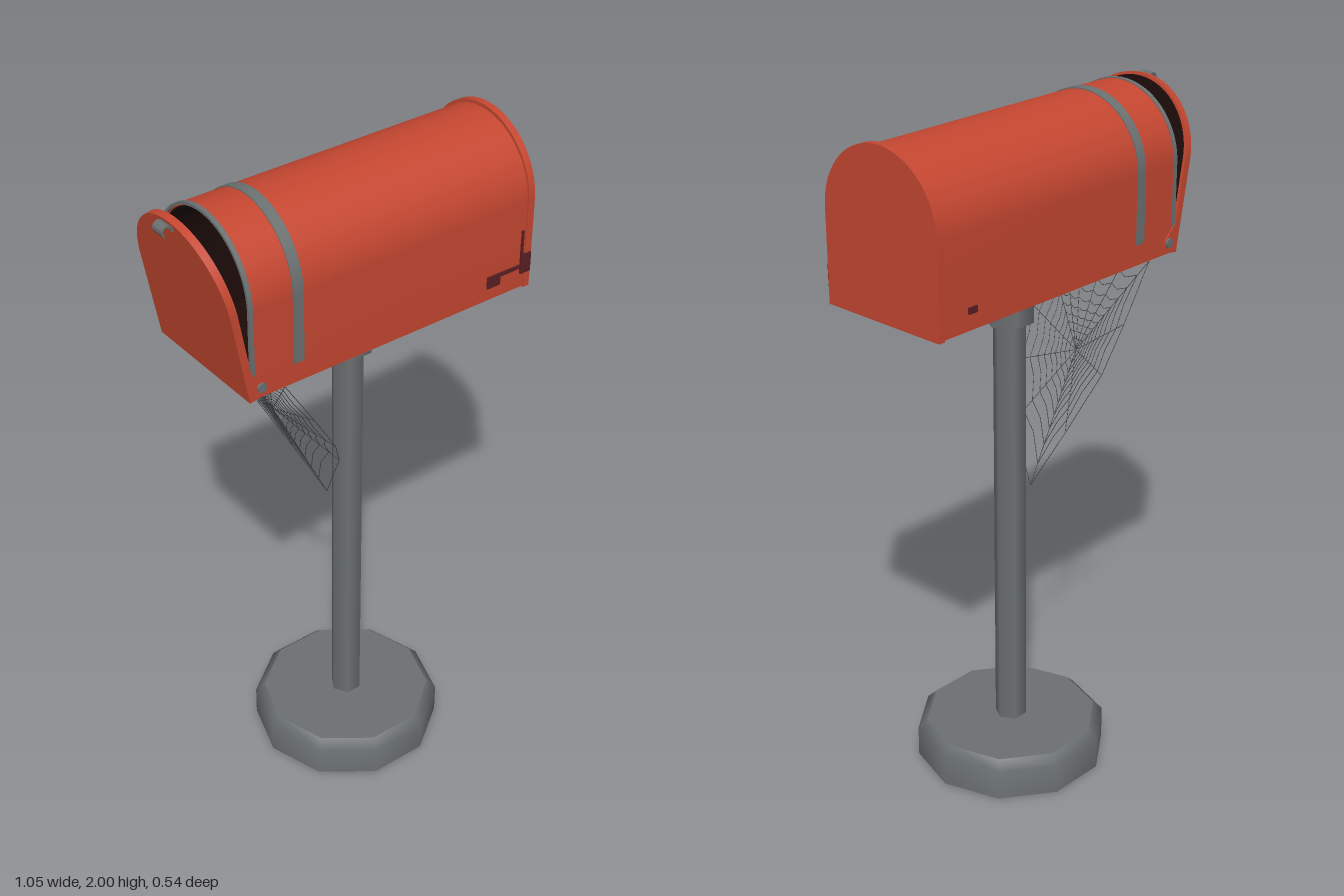
import * as THREE from 'three';
import { mergeGeometries, toCreasedNormals } from 'three/addons/utils/BufferGeometryUtils.js';

const mat = (name, color, side = THREE.FrontSide) => {
  const m = new THREE.MeshStandardMaterial({ color, side });
  m.name = name;
  return m;
};

// Round-topped outline; z runs along the shape's x
function archPath(path, w, bottom, top) {
  path.moveTo(-w, bottom);
  path.lineTo(w, bottom);
  path.lineTo(w, top - w);
  path.absarc(0, top - w, w, 0, Math.PI, false);
  path.lineTo(-w, bottom);
  return path;
}

const solidArch = (w, bottom, top) => archPath(new THREE.Shape(), w, bottom, top);

function hollowArch(w, bottom, top, t) {
  const s = solidArch(w, bottom, top);
  s.holes.push(archPath(new THREE.Path(), w - t, bottom + t, top - t));
  return s;
}

// Strip that goes up one side, over the top and down the other
function archStrip(w, bottom, top, t) {
  const s = new THREE.Shape();
  s.moveTo(w, bottom);
  s.lineTo(w, top - w);
  s.absarc(0, top - w, w, 0, Math.PI, false);
  s.lineTo(-w, bottom);
  s.lineTo(-w + t, bottom);
  s.lineTo(-w + t, top - w);
  s.absarc(0, top - w, w - t, Math.PI, 0, true);
  s.lineTo(w - t, bottom);
  return s;
}

// Extrudes a cross-section from x0 to x1
function alongX(shape, x0, x1) {
  const g = new THREE.ExtrudeGeometry(shape, { depth: x1 - x0, bevelEnabled: false, curveSegments: 20 });
  g.rotateY(Math.PI / 2).translate(x0, 0, 0);
  return toCreasedNormals(g, 0.6);
}

export function createModel() {
  const root = new THREE.Group();
  root.name = 'mailbox';

  const red = mat('red paint', 0xc54731);
  const grey = mat('grey metal', 0x6b7070);
  const greySheet = mat('grey sheet', 0x6b7070, THREE.DoubleSide);
  const dark = mat('dark interior', 0x1c0c09);
  const maroon = mat('maroon flag', 0x5a2024);
  const thread = mat('web thread', 0x454848);

  const add = (name, geometry, material, parent = root) => {
    const m = new THREE.Mesh(geometry, material);
    m.name = name;
    parent.add(m);
    return m;
  };
  const box = (name, w, h, d, x, y, z, material, parent) =>
    add(name, new THREE.BoxGeometry(w, h, d).translate(x, y, z), material, parent);

  // Hollow ten-sided foot, hexagonal post and collar
  const px = 0.055;
  const foot = new THREE.LatheGeometry(
    [[0.285, 0], [0.285, 0.093], [0.257, 0.12]].map(p => new THREE.Vector2(...p)), 10);
  add('foot', foot.rotateY(Math.PI / 2), greySheet).position.x = px;
  const footTop = new THREE.CircleGeometry(0.257, 10).rotateX(-Math.PI / 2);
  add('footTop', footTop, greySheet).position.set(px, 0.12, 0);
  const hexTube = (name, r, y0, y1) => {
    const g = new THREE.CylinderGeometry(r, r, y1 - y0, 6).rotateY(Math.PI / 2);
    add(name, g, grey).position.set(px, (y0 + y1) / 2, 0);
  };
  hexTube('post', 0.047, 0.1, 1.45);
  hexTube('collar', 0.07, 1.4, 1.528);

  // Body, liner and closed end
  add('body', alongX(hollowArch(0.2, 1.53, 1.99, 0.008), -0.4, 0.505), red);
  add('liner', alongX(hollowArch(0.192, 1.538, 1.982, 0.004), -0.398, 0.5), dark);
  add('linerEnd', alongX(solidArch(0.19, 1.54, 1.98), 0.49, 0.5), dark);
  add('endCap', alongX(solidArch(0.205, 1.528, 2), 0.503, 0.524), red);
  add('band', alongX(archStrip(0.203, 1.59, 1.993, 0.005), -0.272, -0.24), grey);
  add('mouthRim', alongX(archStrip(0.203, 1.6, 1.993, 0.008), -0.406, -0.393), grey);
  box('mountPlate', 0.53, 0.006, 0.36, px, 1.528, 0, grey);

  // Door, ajar and hinged at the bottom
  const door = new THREE.Group();
  door.name = 'door';
  door.position.set(-0.4, 1.53, 0);
  door.rotation.z = 0.183;
  root.add(door);
  add('doorPanel', alongX(solidArch(0.205, 0, 0.47), -0.012, 0.01), red, door);
  add('doorLining', alongX(solidArch(0.196, 0.01, 0.462), 0.01, 0.014), dark, door);

  // Curled pull at the top of the door
  const hook = new THREE.Shape();
  hook.moveTo(-0.49, 1.968);
  hook.lineTo(-0.496, 1.968);
  hook.absarc(-0.512, 1.974, 0.017, 0, Math.PI * 1.3, false);
  hook.absarc(-0.512, 1.974, 0.012, Math.PI * 1.3, 0, true);
  const pull = new THREE.ExtrudeGeometry(hook, { depth: 0.042, bevelEnabled: false, curveSegments: 10 });
  add('doorPull', toCreasedNormals(pull.translate(0, 0, -0.021), 0.8), grey);

  // Hinge ears and pins on both sides
  for (const s of [-1, 1]) {
    const ear = new THREE.Shape();
    ear.moveTo(-0.405, 1.53);
    ear.lineTo(-0.362, 1.535);
    ear.lineTo(-0.362, 1.57);
    ear.lineTo(-0.412, 1.62);
    const g = new THREE.ExtrudeGeometry(ear, { depth: 0.004, bevelEnabled: false });
    add('hingeEar', g.translate(0, 0, s * 0.203 - 0.002), red);
    const pin = new THREE.CylinderGeometry(0.014, 0.014, 0.01, 10).rotateX(Math.PI / 2);
    add('hingePin', pin, grey).position.set(-0.377, 1.564, s * 0.207);
  }

  // Lowered signal flag on the front side, its nut behind
  const flag = new THREE.Group();
  flag.name = 'flag';
  root.add(flag);
  box('flagArm', 0.14, 0.011, 0.005, 0.445, 1.6, 0.204, maroon, flag);
  box('flagBlade', 0.045, 0.036, 0.005, 0.394, 1.588, 0.204, maroon, flag);
  box('flagPivot', 0.034, 0.06, 0.007, 0.505, 1.607, 0.205, maroon, flag);
  box('flagStop', 0.007, 0.11, 0.005, 0.491, 1.655, 0.204, maroon, flag);
  box('flagNut', 0.03, 0.018, 0.006, 0.4, 1.585, -0.202, maroon, flag);

  // Spider web from the underside of the body to the post
  const webPoint = ([z, y]) => {
    const low = THREE.MathUtils.lerp(0.9, 1.05, THREE.MathUtils.clamp((z + 0.05) / 0.1, 0, 1));
    const x = THREE.MathUtils.mapLinear(y, 1.53, low, -0.3, 0.012);
    return new THREE.Vector3(Math.min(x, 0.012), y, z);
  };
  const hub = webPoint([-0.05, 1.26]);
  const rim = [
    [0.2, 1.53], [0.175, 1.36], [0.13, 1.2], [0.04, 1.06], [-0.04, 0.89], [-0.105, 1.05],
    [-0.165, 1.22], [-0.185, 1.36], [-0.2, 1.53], [-0.12, 1.53], [-0.04, 1.53], [0.05, 1.53], [0.12, 1.53],
  ].map(webPoint);
  const strands = [];
  const strand = (a, b) => strands.push(
    new THREE.TubeGeometry(new THREE.LineCurve3(a, b), 1, 0.0011, 3, false));
  const rings = [0.1, 0.17, 0.24, 0.31, 0.39, 0.48, 0.58, 0.7, 0.84];
  rim.forEach((p, i) => {
    const q = rim[(i + 1) % rim.length];
    strand(hub, p);
    if (i < 8) strand(p, q);
    for (const t of rings) {
      const a = hub.clone().lerp(p, t), b = hub.clone().lerp(q, t);
      const sag = a.clone().lerp(b, 0.5).lerp(hub, 0.06);
      strand(a, sag);
      strand(sag, b);
    }
  });
  add('spiderWeb', mergeGeometries(strands), thread);

  return root;
}
